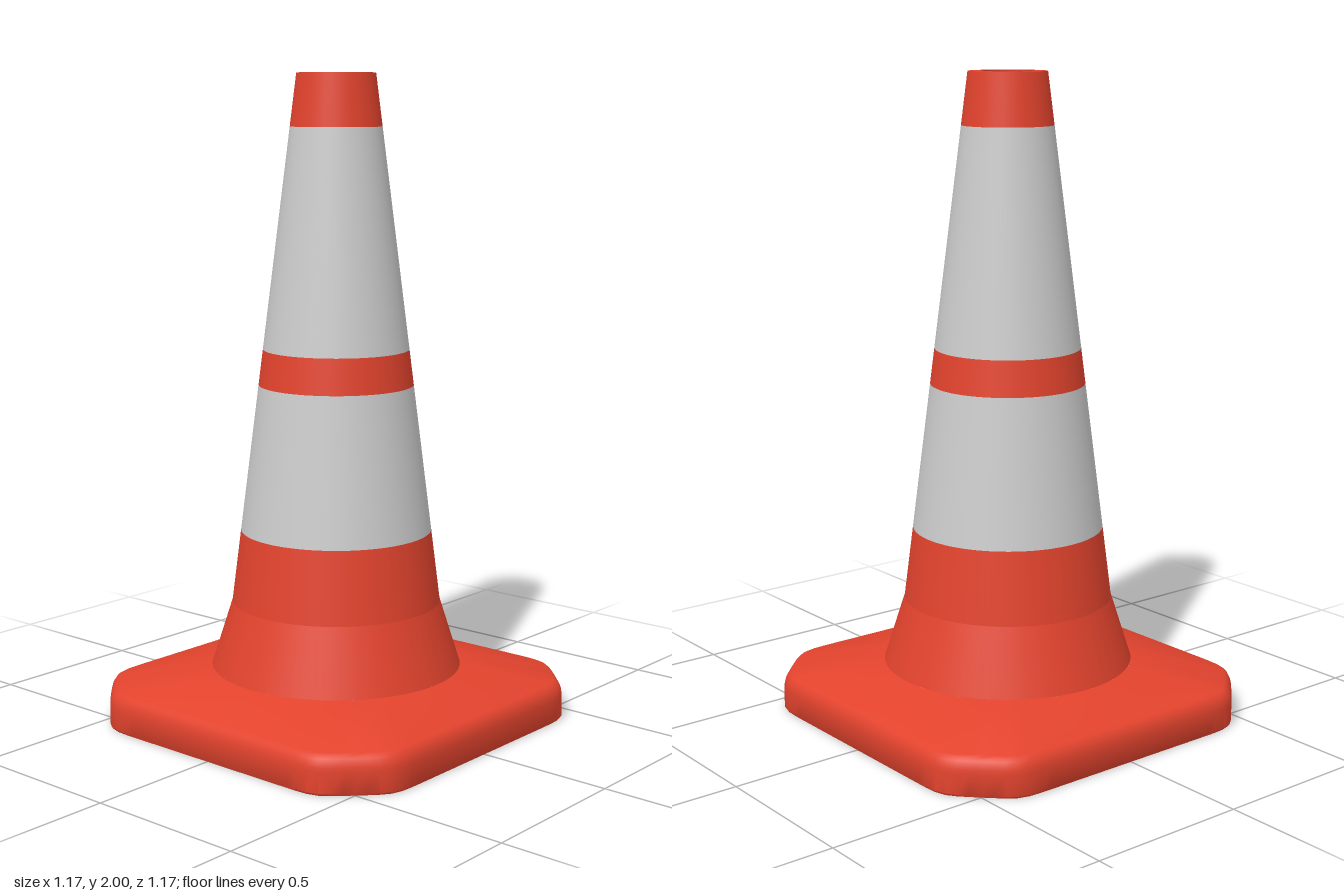
import * as THREE from 'three';
import { toCreasedNormals } from 'three/addons/utils/BufferGeometryUtils.js';

const SEGMENTS = 96;
const orange = new THREE.MeshStandardMaterial({ color: 0xe2432d });
const grey = new THREE.MeshStandardMaterial({ color: 0xbdbdbd });

// Radius of the square base with softened, cut corners, inset by d
function outline(angle, d) {
  const p = 45;
  let sum = 0;
  for (let k = 0; k < 8; k++) {
    const c = Math.cos(angle - k * Math.PI / 4);
    const reach = (k % 2 ? 0.71 : 0.585) - d;
    if (c > 0) sum += Math.pow(c / reach, p);
  }
  return Math.pow(sum, -1 / p);
}

// Hollow base, lofted through rings from the underside round to the top
function baseGeometry() {
  const rings = [
    { y: 0.13, r: 0.355 },                       // underside opening
    { y: 0.085, d: 0.045 }, { y: 0, d: 0.035 },  // recess and rim
    { y: 0, d: 0.004 }, { y: 0.006, d: 0 },      // foot of the outer wall
  ];
  for (let i = 0; i <= 5; i++) {                 // rounded upper edge
    const t = i / 5 * 1.3;
    rings.push({ y: 0.07 + 0.05 * Math.sin(t), d: 0.035 * (1 - Math.cos(t)) });
  }
  rings.push({ y: 0.17, r: 0.39 });              // meets the cone
  const n = 128, positions = [], index = [];
  rings.forEach((ring, i) => {
    for (let j = 0; j < n; j++) {
      const a = j / n * Math.PI * 2;
      const r = ring.r ?? outline(a, ring.d);
      positions.push(r * Math.cos(a), ring.y, r * Math.sin(a));
      if (i === rings.length - 1) continue;
      const p = i * n + j, q = i * n + (j + 1) % n;
      index.push(p, p + n, q, q, p + n, q + n);
    }
  });
  const geometry = new THREE.BufferGeometry();
  geometry.setAttribute('position', new THREE.Float32BufferAttribute(positions, 3));
  geometry.setIndex(index);
  return toCreasedNormals(geometry, 0.6);
}

// Outer radius of the straight upper cone at height y
const coneRadius = y => 0.325 - 0.205 * (y - 0.375) / 1.625;

export function createModel() {
  const model = new THREE.Group();
  model.name = 'trafficCone';

  const add = (name, geometry, material) => {
    const mesh = new THREE.Mesh(geometry, material);
    mesh.name = name;
    model.add(mesh);
  };
  const frustum = (name, r0, y0, r1, y1, material) => add(name, new THREE.LatheGeometry(
    [new THREE.Vector2(r0, y0), new THREE.Vector2(r1, y1)], SEGMENTS), material);

  add('base', baseGeometry(), orange);
  frustum('flaredSkirt', 0.39, 0.17, 0.325, 0.375, orange);

  // Coloured bands up the cone
  const bands = [
    ['lowerBody', 0.375, 0.6, orange],
    ['lowerReflectiveBand', 0.6, 1.055, grey],
    ['middleBody', 1.055, 1.165, orange],
    ['upperReflectiveBand', 1.165, 1.84, grey],
    ['tip', 1.84, 2, orange],
  ];
  for (const [name, y0, y1, material] of bands) {
    frustum(name, coneRadius(y0), y0, coneRadius(y1), y1, material);
  }

  // Open top and hollow inside
  frustum('topRim', 0.12, 2, 0.08, 2, orange);
  frustum('innerWallUpper', 0.08, 2, 0.29, 0.375, orange);
  frustum('innerWallLower', 0.29, 0.375, 0.355, 0.13, orange);

  return model;
}
